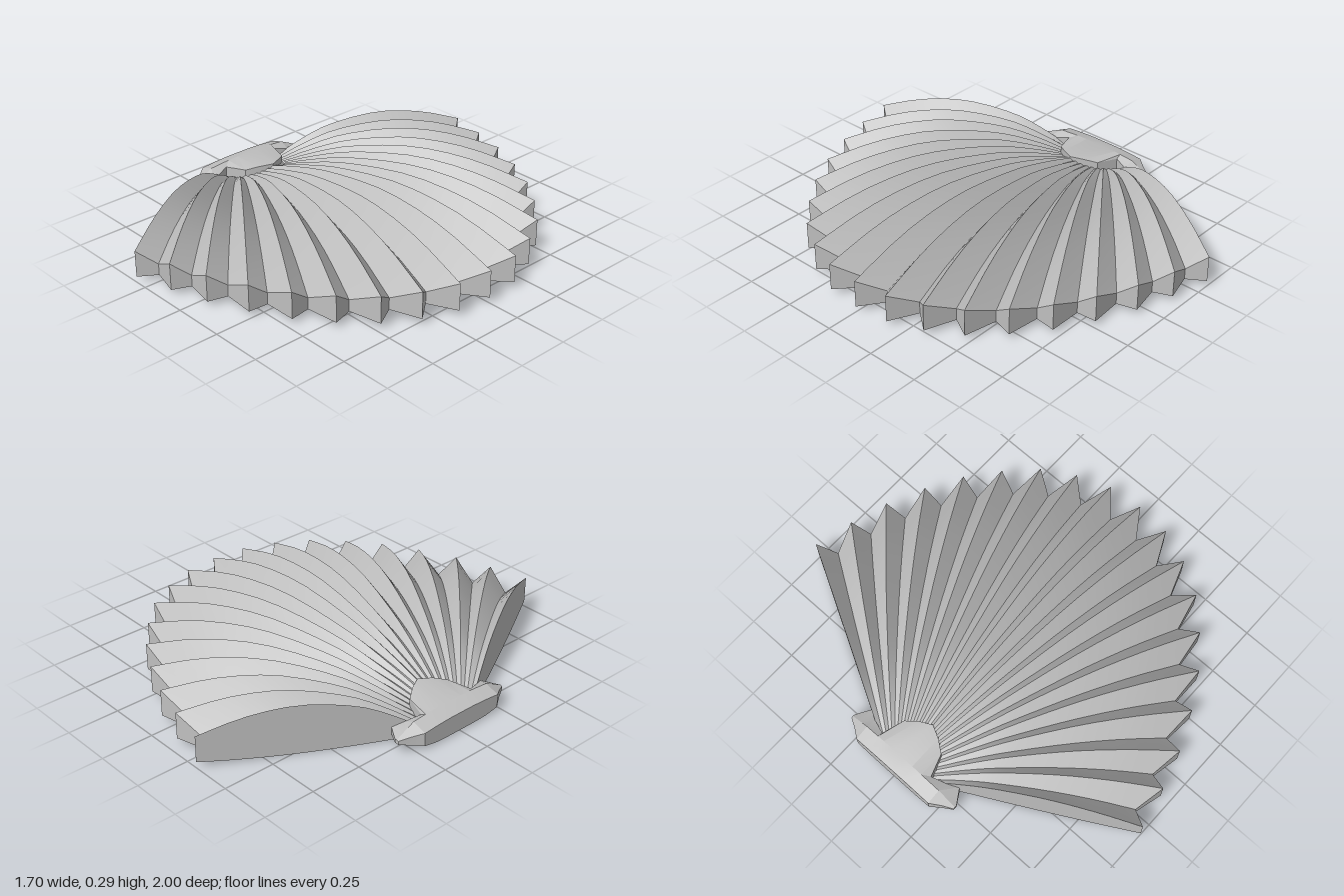
import * as THREE from 'three';
import { toCreasedNormals } from 'three/addons/utils/BufferGeometryUtils.js';

// Skin closed loops of [x, y, z], ordered towards +z, each running clockwise seen from +z
function loft(loops) {
  const n = loops[0].length;
  const index = [];
  for (let i = 0; i < loops.length - 1; i++) {
    for (let j = 0; j < n; j++) {
      const k = (j + 1) % n;
      const a = i * n + j, b = i * n + k, c = b + n, d = a + n;
      index.push(a, d, c, a, c, b);
    }
  }
  const last = (loops.length - 1) * n;
  for (let j = 1; j < n - 1; j++) {
    index.push(0, j, j + 1, last, last + j + 1, last + j);
  }
  const geometry = new THREE.BufferGeometry();
  geometry.setAttribute('position', new THREE.Float32BufferAttribute(loops.flat(2), 3));
  geometry.setIndex(index);
  return toCreasedNormals(geometry, 0.3);
}

// Fan focus, and rib tips from the middle rib to the outermost one as [x, z]
const FOCUS = -0.85;
const TIPS = [[0.845, 0], [0.83, 0.17], [0.77, 0.33], [0.68, 0.48], [0.55, 0.61],
  [0.405, 0.725], [0.24, 0.82], [0.06, 0.9], [-0.12, 0.955], [-0.31, 1]];

// Rib crest heights along the radius, for the middle and the outermost rib
const ALONG = [0.155, 0.27, 0.41, 0.62, 0.82, 1];
const MIDDLE = [0.125, 0.19, 0.25, 0.29, 0.255, 0.16];
const OUTER = [0.05, 0.13, 0.2, 0.24, 0.217, 0.155];
const STEPS = 14;

// One radial section: crest or valley line on top, shallow bowl underneath
function radialLoop(angle, radius, spread, isValley) {
  const crest = new THREE.SplineCurve(ALONG.map((t, i) =>
    new THREE.Vector2(t, THREE.MathUtils.lerp(MIDDLE[i], OUTER[i], spread))));
  const top = [], bottom = [];
  for (let i = 0; i <= STEPS; i++) {
    const p = crest.getPoint(i / STEPS);
    const dip = isValley ? 0.073 * THREE.MathUtils.smoothstep(p.x, -0.05, 0.7) : 0;
    const x = FOCUS + Math.cos(angle) * radius * p.x;
    const z = Math.sin(angle) * radius * p.x;
    const under = p.x < 0.55 ? 0.07 * (0.55 - p.x) ** 2 : 0.138 * (p.x - 0.55) ** 2;
    top.push([x, p.y - dip, z]);
    bottom.unshift([x, under, z]);
  }
  return [...top, ...bottom];
}

function shellGeometry() {
  const ribs = [];
  for (let k = -9; k <= 9; k++) {
    const [x, z] = TIPS[Math.abs(k)];
    ribs.push({
      angle: Math.atan2(z * Math.sign(k), x - FOCUS),
      radius: Math.hypot(x - FOCUS, z),
      spread: Math.abs(k) / 9,
    });
  }
  const loops = [];
  ribs.forEach((rib, i) => {
    loops.push(radialLoop(rib.angle, rib.radius, rib.spread, false));
    const next = ribs[i + 1];
    if (next) {
      loops.push(radialLoop((rib.angle + next.angle) / 2,
        (rib.radius + next.radius) / 2 * 0.935, (rib.spread + next.spread) / 2, true));
    }
  });
  return loft(loops);
}

// Hinge block with an ear on each side
function hingeGeometry() {
  // z, back x, front x, bottom y, back top y, crest y, front top y
  const half = [
    [0, -0.85, -0.58, 0.01, 0.1, 0.122, 0.135],
    [0.06, -0.85, -0.61, 0.01, 0.1, 0.122, 0.13],
    [0.115, -0.85, -0.65, 0.011, 0.098, 0.12, 0.115],
    [0.15, -0.85, -0.755, 0.013, 0.096, 0.118, 0.105],
    [0.22, -0.85, -0.73, 0.025, 0.09, 0.112, 0.09],
    [0.27, -0.815, -0.7, 0.034, 0.075, 0.088, 0.07],
    [0.315, -0.79, -0.77, 0.045, 0.062, 0.065, 0.062],
  ];
  const section = ([z, back, front, low, backTop, crest, frontTop], side) => [
    [back, low, z * side], [back, backTop, z * side],
    [Math.max(-0.78, back + 0.01), crest, z * side],
    [front, frontTop, z * side], [front, low, z * side],
  ];
  return loft([
    ...half.slice(1).reverse().map((s) => section(s, -1)),
    ...half.map((s) => section(s, 1)),
  ]);
}

export function createModel() {
  const shellGrey = new THREE.MeshStandardMaterial({ color: 0xc0c0c0 });
  shellGrey.name = 'shell grey';

  const model = new THREE.Group();
  model.name = 'scallopShell';
  const parts = { ribbedFan: shellGeometry(), hinge: hingeGeometry() };
  for (const [name, geometry] of Object.entries(parts)) {
    const mesh = new THREE.Mesh(geometry, shellGrey);
    mesh.name = name;
    model.add(mesh);
  }
  return model;
}
